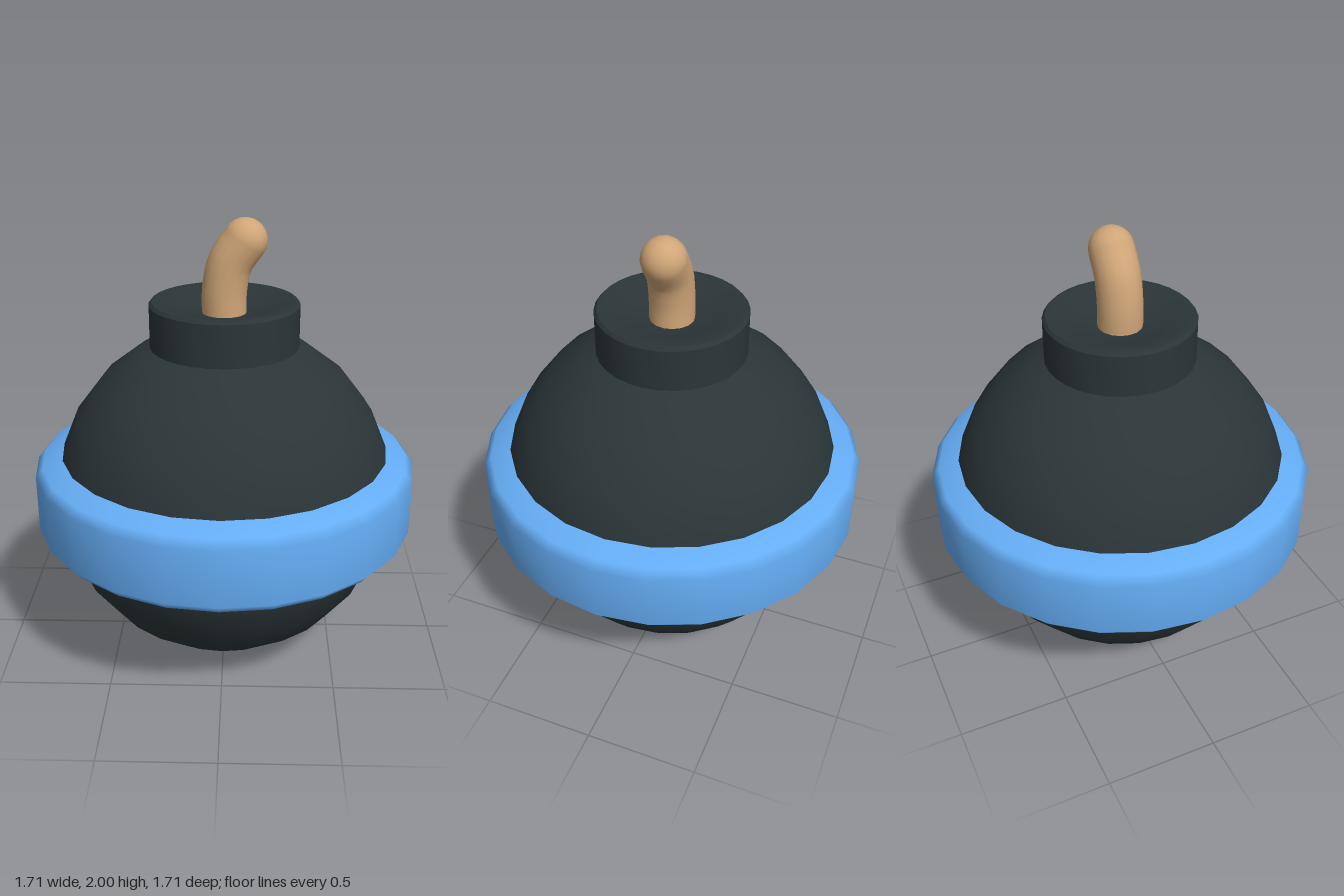
import * as THREE from 'three';
import { toCreasedNormals } from 'three/addons/utils/BufferGeometryUtils.js';

const paint = (color) => new THREE.MeshStandardMaterial({ color });

function part(name, geometry, material) {
  const mesh = new THREE.Mesh(geometry, material);
  mesh.name = name;
  return mesh;
}

function lathe(points, segments) {
  return new THREE.LatheGeometry(points.map(([r, y]) => new THREE.Vector2(r, y)), segments);
}

export function createModel() {
  const dark = paint(0x2b3538);
  const blue = paint(0x65adf5);
  const tan = paint(0xd0a678);
  const model = new THREE.Group();

  // Round body
  const body = part('body', new THREE.SphereGeometry(0.762, 24, 12), dark);
  body.position.y = 0.762;
  model.add(body);

  // Belt around the middle, rounded at its edges
  const belt = [
    [0.72, 0.57], [0.735, 0.57], [0.825, 0.602], [0.857, 0.64],
    [0.857, 0.893], [0.825, 0.93], [0.735, 0.962], [0.72, 0.962],
  ];
  model.add(part('belt', lathe(belt, 24), blue));

  // Collar with a bevelled rim and a shallow dished top
  const collar = [
    [0.328, 1.41], [0.328, 1.63], [0.315, 1.645], [0.282, 1.645],
    [0.19, 1.612], [0.1, 1.592], [0, 1.585],
  ];
  model.add(part('collar', toCreasedNormals(lathe(collar, 32), 0.6), dark));

  // Bent fuse with a round tip
  const fuse = new THREE.Group();
  fuse.name = 'fuse';
  const path = new THREE.CatmullRomCurve3([
    new THREE.Vector3(0, 1.56, 0),
    new THREE.Vector3(0, 1.69, 0),
    new THREE.Vector3(0.025, 1.81, 0),
    new THREE.Vector3(0.086, 1.902, 0),
  ]);
  const radius = 0.097;
  fuse.add(part('fuseStem', new THREE.TubeGeometry(path, 8, radius, 16), tan));
  const tip = part('fuseTip', new THREE.SphereGeometry(radius, 16, 6, 0, Math.PI * 2, 0, Math.PI / 2), tan);
  tip.position.copy(path.getPoint(1));
  tip.quaternion.setFromUnitVectors(new THREE.Vector3(0, 1, 0), path.getTangent(1));
  fuse.add(tip);
  model.add(fuse);

  return model;
}
